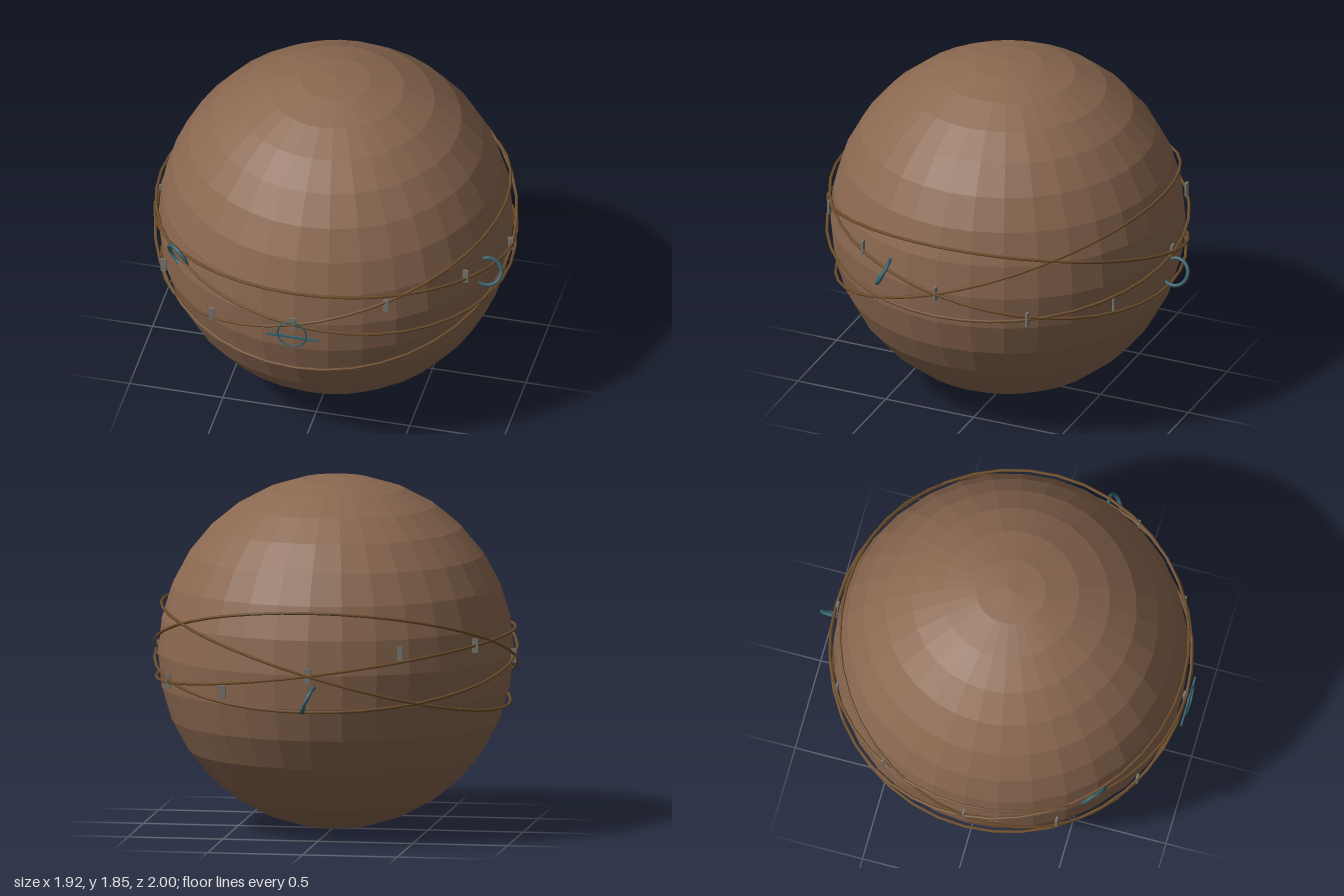
import * as THREE from 'three';

const CX = -0.01, CY = 0.928, CZ = 0.03, R = 0.925;

export function createModel() {
  const model = new THREE.Group();
  const mat = (color, flatShading = false) => new THREE.MeshStandardMaterial({ color, flatShading });
  const brown = mat(0x8b6850, true);
  const wireMat = mat(0x6e4e2c);
  const teal = mat(0x36606a);
  const grey = mat(0x77746c);

  const add = (name, geometry, material, x, y, z) => {
    const mesh = new THREE.Mesh(geometry, material);
    mesh.name = name;
    mesh.position.set(x, y, z);
    model.add(mesh);
    return mesh;
  };

  // Faceted ball
  add('ball', new THREE.SphereGeometry(R, 32, 16), brown, CX, CY, CZ);

  // Wires wound around the ball, each tilted about x or z
  const tilts = [[-0.205, 0], [0.35, 0], [0, 0.28], [0, -0.14]];
  for (const [tx, tz] of tilts) {
    const ring = new THREE.TorusGeometry(0.945, 0.008, 6, 40);
    ring.rotateX(Math.PI / 2);
    add('wire', ring, wireMat, CX, CY, CZ).rotation.set(tx, 0, tz);
  }

  // Twelve clips in a wavy belt, all facing front
  for (let i = 0; i < 12; i++) {
    const a = (i * Math.PI) / 6;
    add('clip', new THREE.BoxGeometry(0.03, 0.075, 0.012), grey,
      CX + 0.935 * Math.cos(a), CY + 0.13 * Math.sin(2 * a), CZ + 0.935 * Math.sin(a));
  }

  // Open hooks: an arc about a centre, u points to its middle, v lies across it
  const hook = (center, u, v) => {
    const U = new THREE.Vector3(...u).normalize();
    const V = new THREE.Vector3(...v);
    V.addScaledVector(U, -V.dot(U)).normalize();
    const points = [];
    for (let i = 0; i <= 16; i++) {
      const t = -2.45 + (4.9 * i) / 16;
      points.push(new THREE.Vector3()
        .addScaledVector(U, 0.072 * Math.cos(t))
        .addScaledVector(V, 0.072 * Math.sin(t)));
    }
    const curve = new THREE.CatmullRomCurve3(points);
    add('hook', new THREE.TubeGeometry(curve, 32, 0.01, 8), teal, ...center);
  };
  hook([0.88, 0.972, 0.345], [0.97, 0, -0.25], [0, 0.88, -0.46]);
  hook([-0.7, 1.02, 0.665], [-0.56, 0.82, -0.09], [0.58, 0.47, 0.68]);
  hook([-0.015, 0.805, -0.918], [0, 0, -1], [-0.42, 0.9, 0]);

  // Small ring and crossbar on the front
  add('frontRing', new THREE.TorusGeometry(0.077, 0.005, 6, 32), teal, -0.01, 0.88, 0.993);
  add('frontBar', new THREE.BoxGeometry(0.28, 0.01, 0.01), teal, -0.01, 0.856, 0.985);

  return model;
}
